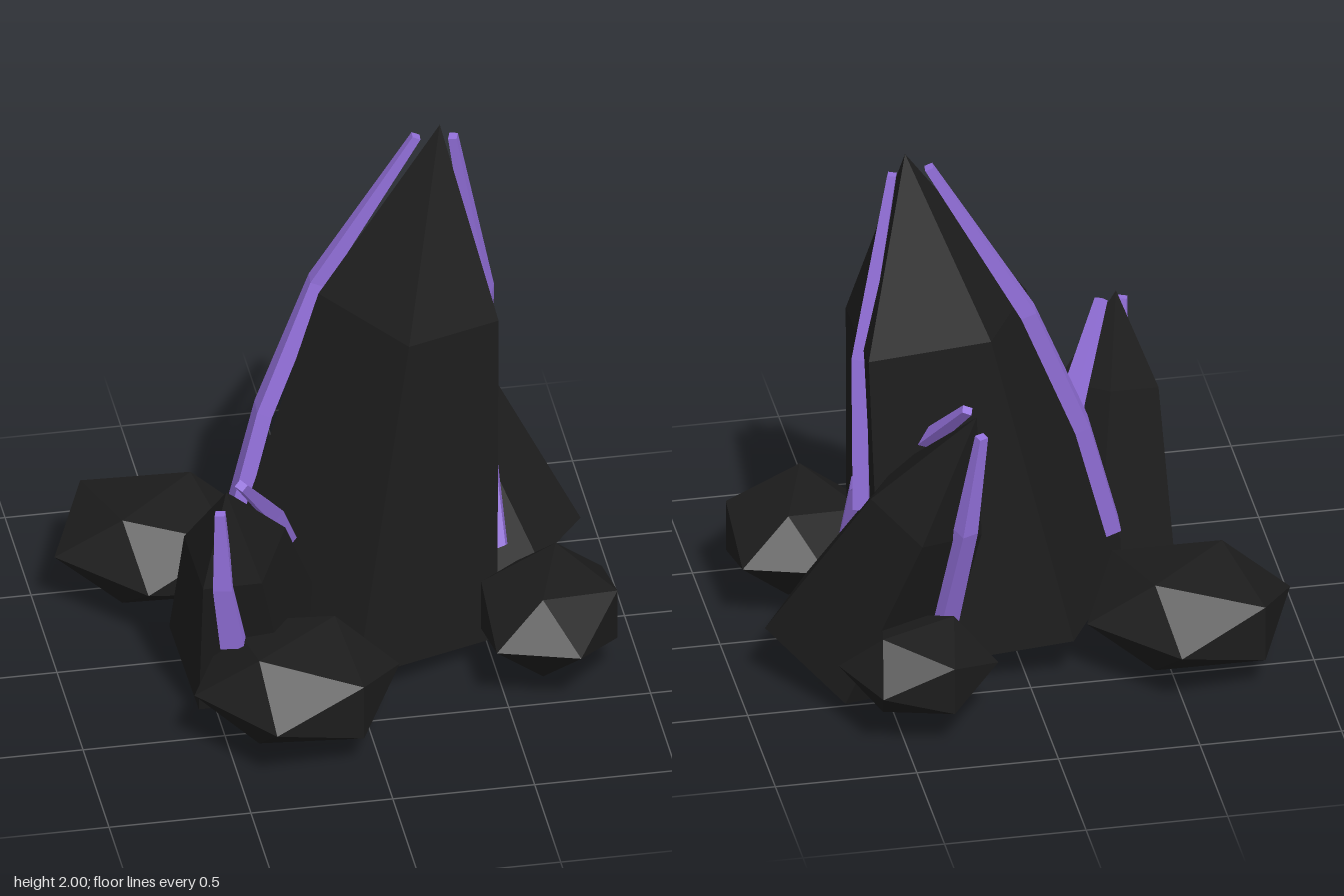
import * as THREE from 'three';

const V = (p) => new THREE.Vector3(...p);

// Flat-shaded solid through equal-sized rings of points, capped at both ends.
function loft(rings) {
  const tris = [];
  const n = rings[0].length;
  const add = (a, b, c) => {
    const area = b.clone().sub(a).cross(c.clone().sub(a)).length();
    if (area > 1e-8) tris.push([a, b, c]);
  };
  for (let r = 0; r < rings.length - 1; r++) {
    for (let i = 0; i < n; i++) {
      const j = (i + 1) % n;
      add(rings[r][i], rings[r][j], rings[r + 1][j]);
      add(rings[r][i], rings[r + 1][j], rings[r + 1][i]);
    }
  }
  const first = rings[0], last = rings[rings.length - 1];
  for (let i = 1; i < n - 1; i++) {
    add(first[0], first[i + 1], first[i]);
    add(last[0], last[i], last[i + 1]);
  }
  // Turn the faces outward whichever way the rings were listed
  const volume = tris.reduce((s, [a, b, c]) => s + a.dot(b.clone().cross(c)), 0);
  const points = tris.flatMap(([a, b, c]) => (volume < 0 ? [a, c, b] : [a, b, c]));
  const geometry = new THREE.BufferGeometry().setFromPoints(points);
  geometry.computeVertexNormals();
  return geometry;
}

// Five-sided leaning crystal: base, shoulder ring, pointed tip.
function crystalGeometry(base, apex, t = 0.64) {
  const foot = base.map(V), tip = V(apex);
  const centre = foot.reduce((s, p) => s.add(p), new THREE.Vector3()).divideScalar(foot.length);
  const mid = centre.clone().lerp(tip, t);
  const shoulder = foot.map((p) => p.clone().sub(centre).multiplyScalar(0.64).add(mid));
  return loft([foot, shoulder, foot.map(() => tip)]);
}

// Bent shard that widens downward; outward is the way its broad side faces.
function shardGeometry(path, outward, topWidth, endWidth) {
  const pts = path.map(V);
  const dir = pts[pts.length - 1].clone().sub(pts[0]).normalize();
  const side = dir.clone().cross(V(outward)).normalize();
  const out = side.clone().cross(dir).normalize();
  return loft(pts.map((p, i) => {
    const w = THREE.MathUtils.lerp(topWidth, endWidth, Math.min(1, i / (pts.length - 1) * 1.3)) / 2;
    const d = i === 0 ? 0.015 : 0.028;
    return [[-w, -d], [w, -d], [w, d], [-w, d]].map(([a, b]) =>
      p.clone().addScaledVector(side, a).addScaledVector(out, b));
  }));
}

export function createModel() {
  const model = new THREE.Group();
  const darkStone = new THREE.MeshStandardMaterial({ color: 0x1c1c1c, flatShading: true });
  const violet = new THREE.MeshStandardMaterial({ color: 0x9370db, flatShading: true });
  darkStone.name = 'darkStone';
  violet.name = 'violet';

  const add = (name, geometry, material) => {
    const mesh = new THREE.Mesh(geometry, material);
    mesh.name = name;
    model.add(mesh);
    return mesh;
  };

  // Three dark crystals
  add('mainCrystal', crystalGeometry([
    [-0.02, 0.14, 0.43], [0.52, 0.08, 0.17], [0.51, 0.08, -0.43], [-0.15, 0.18, -0.51], [-0.43, 0.22, -0.06],
  ], [0.38, 2, -0.17]), darkStone);
  add('backCrystal', crystalGeometry([
    [0.31, 0.005, -0.41], [0.67, 0.06, -0.58], [0.9, 0.23, -0.3], [0.7, 0.26, -0.01], [0.33, 0.12, -0.06],
  ], [0.22, 1.2, -0.65], 0.6), darkStone);
  add('frontCrystal', crystalGeometry([
    [-0.61, 0.17, 0.03], [-0.57, 0.045, 0.38], [-0.25, 0.06, 0.4], [-0.07, 0.22, 0.12], [-0.31, 0.28, -0.15],
  ], [-0.49, 0.99, 0.47]), darkStone);

  // Violet shards, two along each crystal
  const shards = [
    ['mainShardRight', [[0.3, 1.95, -0.19], [-0.04, 1.36, -0.24], [-0.235, 0.87, -0.21], [-0.35, 0.43, -0.18]],
      [-1, 0.4, -0.1], 0.035, 0.1],
    ['mainShardLeft', [[0.43, 1.935, -0.19], [0.55, 1.25, -0.24], [0.55, 0.67, -0.27]],
      [0.9, 0.1, 0.3], 0.035, 0.105],
    ['backShardFront', [[0.24, 1.19, -0.58], [0.37, 0.92, -0.34], [0.53, 0.67, -0.15], [0.54, 0.34, 0.01]],
      [-0.3, 0.5, 1], 0.035, 0.09],
    ['backShardRear', [[0.21, 1.14, -0.685], [0.26, 0.75, -0.655], [0.31, 0.32, -0.53]],
      [-0.5, 0, -1], 0.035, 0.08],
    ['frontShardOuter', [[-0.52, 0.935, 0.515], [-0.505, 0.62, 0.497], [-0.465, 0.36, 0.47]],
      [-0.3, 0.1, 1], 0.035, 0.085],
    ['frontShardInner', [[-0.43, 0.985, 0.43], [-0.285, 0.72, 0.21], [-0.225, 0.54, 0.1]],
      [0.8, 0.5, -0.5], 0.035, 0.09],
  ];
  for (const [name, ...spec] of shards) add(name, shardGeometry(...spec), violet);

  // Flattened boulders round the foot: position, radii, turn
  const boulders = [
    ['boulderBackRight', [-0.57, 0.235, -0.435], [0.37, 0.2, 0.39], 0.74],
    ['boulderFront', [-0.255, 0.24, 0.55], [0.37, 0.2, 0.37], 0.65],
    ['boulderLeft', [0.68, 0.26, 0.3], [0.35, 0.185, 0.28], 1.27],
    ['boulderBack', [0.43, 0.245, -0.67], [0.28, 0.17, 0.27], 0.39],
  ];
  for (const [name, position, radii, turn] of boulders) {
    const geometry = new THREE.IcosahedronGeometry(1, 0).scale(...radii).rotateY(turn);
    geometry.computeVertexNormals();
    add(name, geometry, darkStone).position.set(...position);
  }
  return model;
}
